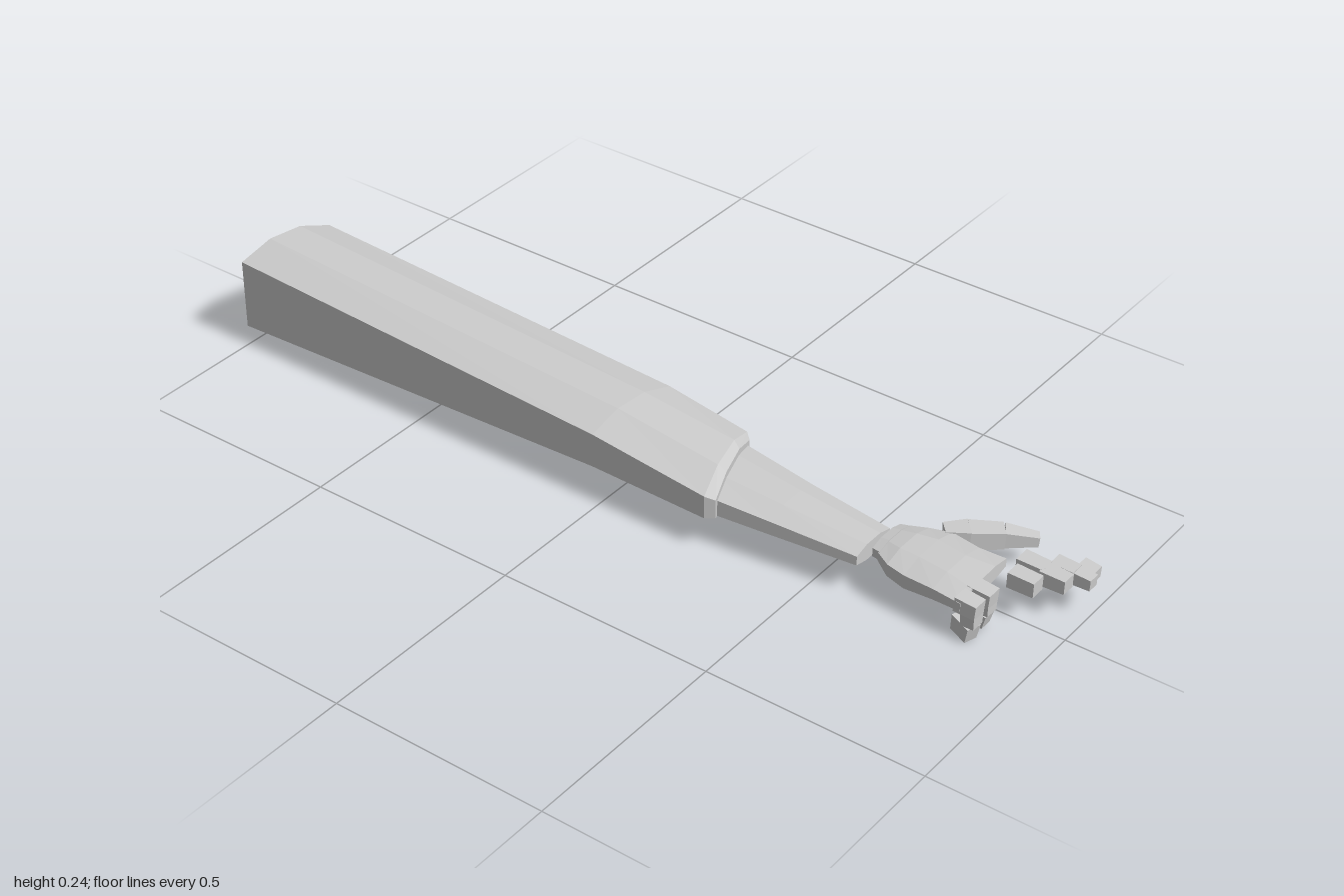
import * as THREE from 'three';

const material = new THREE.MeshStandardMaterial({ color: 0xcccccc, flatShading: true });

// Eight-sided ring, counter-clockwise seen from +z; cx and cy are corner cuts.
// zl and zr are the depths at the low-x and high-x sides, for slanted ends.
function ring(x0, x1, y0, y1, zl, zr = zl, cx = 0.3, cyTop = 0.25, cyLow = 0.2) {
  const w = x1 - x0, h = y1 - y0;
  const xa = x0 + w * cx, xb = x1 - w * cx;
  const yl = y0 + h * cyLow, yh = y1 - h * cyTop;
  const outline = [[x1, yl], [x1, yh], [xb, y1], [xa, y1], [x0, yh], [x0, yl], [xa, y0], [xb, y0]];
  return outline.map(([x, y]) => [x, y, zl + (zr - zl) * (x - x0) / w]);
}

// Skin over a list of rings running towards +z, closed at both ends.
function loft(name, rings) {
  const n = rings[0].length, index = [];
  const last = (rings.length - 1) * n;
  for (let r = 0; r < rings.length - 1; r++) {
    for (let j = 0; j < n; j++) {
      const a = r * n + j, b = r * n + (j + 1) % n;
      index.push(a, b, b + n, a, b + n, a + n);
    }
  }
  for (let j = 1; j < n - 1; j++) {
    index.push(0, j + 1, j, last, last + j, last + j + 1);
  }
  const geo = new THREE.BufferGeometry();
  geo.setAttribute('position', new THREE.Float32BufferAttribute(rings.flat(2), 3));
  geo.setIndex(index);
  const flat = geo.toNonIndexed();
  flat.computeVertexNormals();
  const mesh = new THREE.Mesh(flat, material);
  mesh.name = name;
  return mesh;
}

// Tapered block from one point to another.
function segment(name, from, to, w0, h0, w1, h1) {
  const a = new THREE.Vector3(...from), b = new THREE.Vector3(...to);
  const geo = new THREE.BoxGeometry(1, 1, a.distanceTo(b));
  const p = geo.attributes.position;
  for (let i = 0; i < p.count; i++) {
    const end = p.getZ(i) > 0;
    p.setXY(i, p.getX(i) * (end ? w1 : w0), p.getY(i) * (end ? h1 : h0));
  }
  geo.computeVertexNormals();
  const mesh = new THREE.Mesh(geo, material);
  mesh.name = name;
  mesh.position.copy(a).add(b).multiplyScalar(0.5);
  mesh.lookAt(b);
  return mesh;
}

// Chain of separate blocks: each entry is [from, to, w0, h0, w1, h1].
function finger(name, parts) {
  const group = new THREE.Group();
  group.name = name;
  parts.forEach((part, i) => group.add(segment(`${name}Segment${i + 1}`, ...part)));
  return group;
}

export function createModel() {
  const model = new THREE.Group();
  model.name = 'arm';

  // Long upper sleeve with slanted ends and a bevelled cuff
  model.add(loft('sleeve', [
    ring(-0.19, 0.045, 0.018, 0.242, -1, -0.955, 0.33, 0.13, 0.13),
    ring(-0.19, 0.048, 0.063, 0.188, -0.02, 0, 0.33, 0.2, 0.16),
    ring(-0.19, 0.048, 0.057, 0.16, 0.265, 0.2, 0.31, 0.28, 0.2),
    ring(-0.178, 0.036, 0.062, 0.147, 0.285, 0.215, 0.31, 0.28, 0.2),
  ]));

  // Forearm narrowing to the wrist
  model.add(loft('forearm', [
    ring(-0.172, 0.028, 0.064, 0.135, 0.24, 0.2),
    ring(-0.153, 0.003, 0.064, 0.122, 0.4),
    ring(-0.13, -0.012, 0.066, 0.105, 0.595),
  ]));

  // Wrist stub and palm
  model.add(loft('wrist', [
    ring(-0.085, 0.015, 0.068, 0.102, 0.602),
    ring(-0.09, 0.02, 0.066, 0.105, 0.622),
  ]));
  model.add(loft('palm', [
    ring(-0.09, 0.022, 0.066, 0.102, 0.618),
    ring(-0.113, 0.038, 0.055, 0.107, 0.655),
    ring(-0.122, 0.055, 0.05, 0.107, 0.7),
    ring(-0.126, 0.042, 0.06, 0.106, 0.77),
    ring(-0.13, 0.048, 0.066, 0.1, 0.835, 0.83, 0.25),
  ]));

  // Two outer fingers curled down
  model.add(finger('littleFinger', [
    [[-0.11, 0.083, 0.82], [-0.11, 0.079, 0.868], 0.038, 0.034, 0.036, 0.032],
    [[-0.11, 0.074, 0.851], [-0.11, 0.038, 0.851], 0.036, 0.032, 0.033, 0.03],
    [[-0.107, 0.04, 0.838], [-0.105, 0.003, 0.832], 0.033, 0.05, 0.03, 0.045],
  ]));
  model.add(finger('ringFinger', [
    [[-0.066, 0.085, 0.82], [-0.066, 0.081, 0.872], 0.038, 0.034, 0.036, 0.032],
    [[-0.066, 0.076, 0.855], [-0.066, 0.045, 0.855], 0.036, 0.032, 0.033, 0.03],
    [[-0.066, 0.046, 0.842], [-0.066, 0.014, 0.836], 0.033, 0.05, 0.03, 0.045],
  ]));

  // Two inner fingers reaching forward in stepped blocks
  model.add(finger('middleFinger', [
    [[0.02, 0.081, 0.86], [0.02, 0.08, 0.92], 0.038, 0.036, 0.036, 0.034],
    [[0.064, 0.08, 0.905], [0.064, 0.079, 0.963], 0.038, 0.034, 0.034, 0.031],
    [[0.1, 0.079, 0.945], [0.1, 0.077, 0.998], 0.032, 0.03, 0.028, 0.025],
  ]));
  model.add(finger('indexFinger', [
    [[0.07, 0.081, 0.85], [0.07, 0.08, 0.91], 0.04, 0.036, 0.037, 0.034],
    [[0.1, 0.08, 0.908], [0.1, 0.079, 0.96], 0.036, 0.033, 0.034, 0.031],
    [[0.128, 0.078, 0.952], [0.128, 0.076, 0.99], 0.034, 0.029, 0.03, 0.025],
  ]));

  // Thumb angled outwards
  model.add(finger('thumb', [
    [[0.055, 0.074, 0.68], [0.09, 0.074, 0.718], 0.035, 0.046, 0.05, 0.044],
    [[0.089, 0.074, 0.717], [0.135, 0.07, 0.772], 0.05, 0.042, 0.042, 0.038],
    [[0.136, 0.07, 0.772], [0.175, 0.063, 0.83], 0.04, 0.036, 0.024, 0.022],
  ]));

  return model;
}
